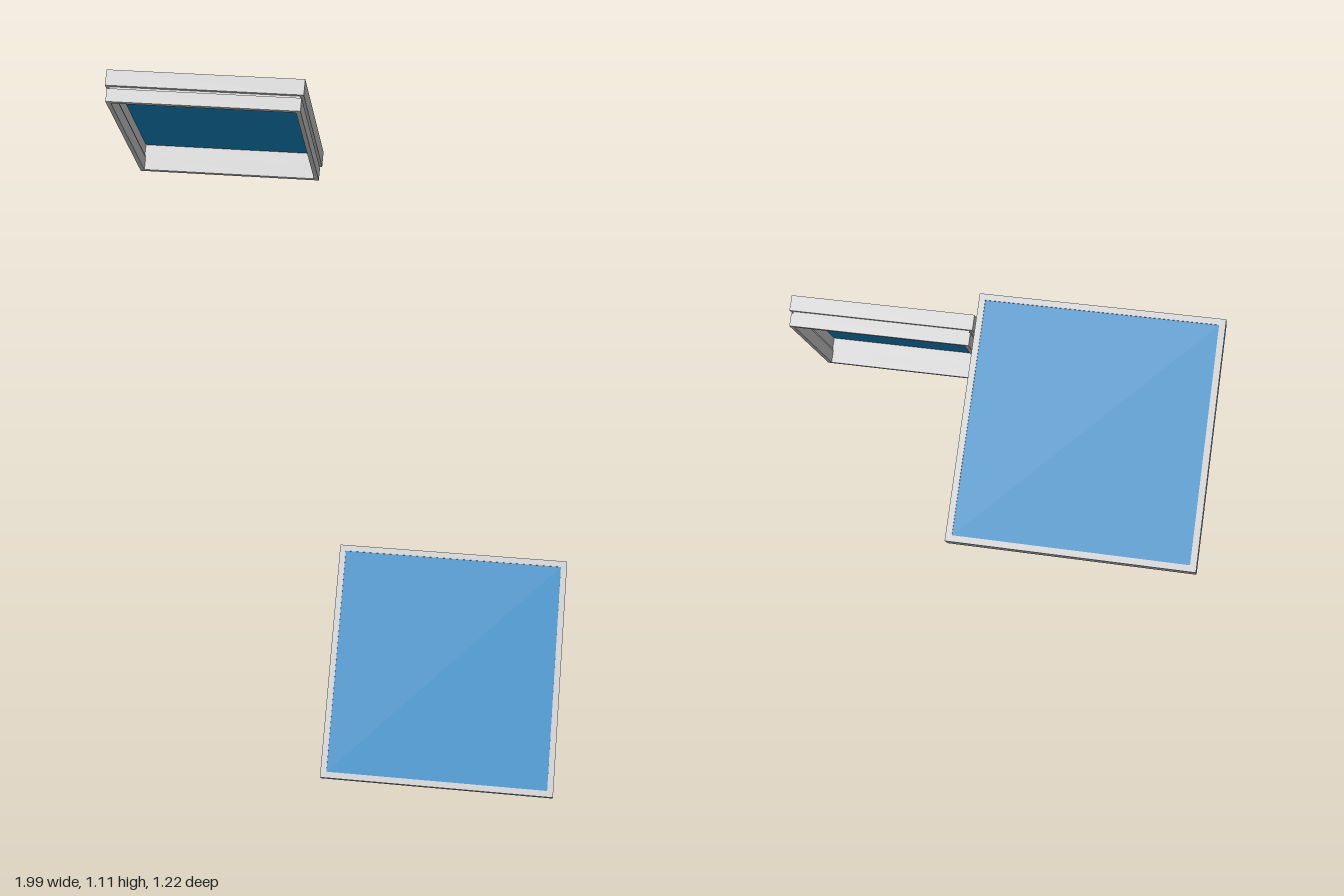
import * as THREE from 'three';

const W = 0.5, H = 0.508; // outer size of one roof window

function rectPath(PathClass, w, h) {
  const p = new PathClass();
  p.moveTo(-w / 2, -h / 2);
  p.lineTo(w / 2, -h / 2);
  p.lineTo(w / 2, h / 2);
  p.lineTo(-w / 2, h / 2);
  p.closePath();
  return p;
}

export function createModel() {
  const frameMat = new THREE.MeshStandardMaterial({ color: 0xcccccc });
  const glassMat = new THREE.MeshStandardMaterial({ color: 0x1088c4 });

  // Rectangular ring: inset from the outer size, rim width, z range below the face
  function ring(name, inset, rim, top, bottom) {
    const w = W - 2 * inset, h = H - 2 * inset;
    const shape = rectPath(THREE.Shape, w, h);
    shape.holes.push(rectPath(THREE.Path, w - 2 * rim, h - 2 * rim));
    const geo = new THREE.ExtrudeGeometry(shape, { depth: bottom - top, bevelEnabled: false });
    geo.translate(0, 0, -bottom);
    const mesh = new THREE.Mesh(geo, frameMat);
    mesh.name = name;
    return mesh;
  }

  // Local axes: x along the window, y up the slope, z out of the glass
  function makeWindow(name) {
    const g = new THREE.Group();
    g.name = name;
    g.add(ring('sash', 0, 0.013, 0, 0.042));
    g.add(ring('grooveSeal', 0.009, 0.006, 0.042, 0.048));
    g.add(ring('curbFrame', 0.005, 0.012, 0.048, 0.083));
    const pane = new THREE.Mesh(new THREE.BoxGeometry(W - 0.025, H - 0.025, 0.008), glassMat);
    pane.name = 'glassPane';
    pane.position.z = -0.006;
    g.add(pane);
    g.rotation.order = 'YXZ';
    return g;
  }

  const model = new THREE.Group();
  model.name = 'roofWindows';
  const yaw = Math.atan2(0.605, 0.796);

  // Two windows on opposite roof slopes, one higher than the other
  for (const [name, side, y] of [['lowerWindow', 1, 0.235], ['upperWindow', -1, 0.928]]) {
    const win = makeWindow(name);
    win.position.set(side * 0.686, y, side * 0.318);
    win.rotation.x = -Math.PI / 4;
    win.rotation.y = side > 0 ? yaw : yaw + Math.PI;
    model.add(win);
  }
  return model;
}
